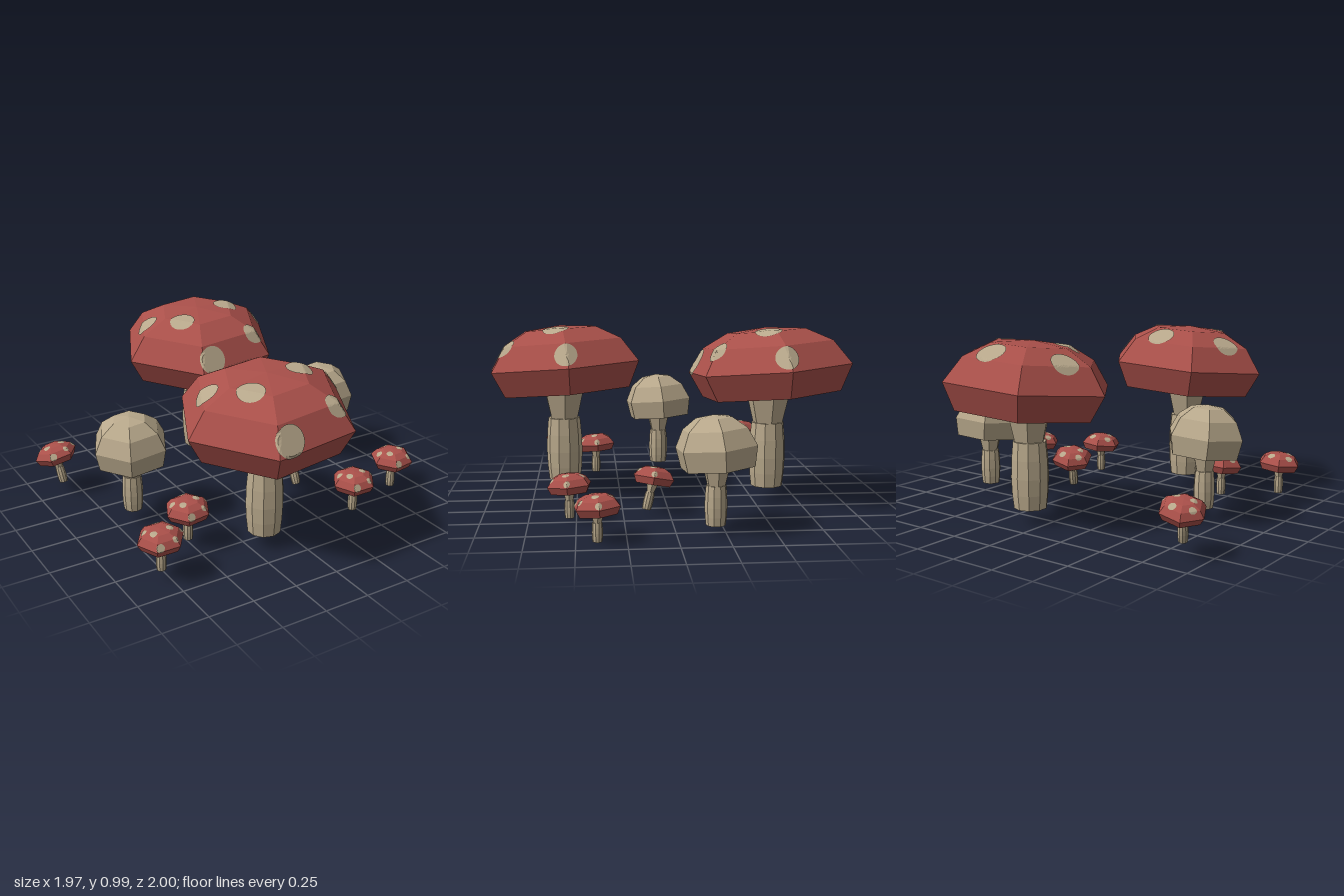
import * as THREE from 'three';

const V = (x, y, z) => new THREE.Vector3(x, y, z);

// Faceted surface of revolution; profile runs bottom to top as [radius, height]
function facetedLathe(profile, sides, phi = 0) {
  const pts = profile.map(([r, y]) => new THREE.Vector2(r, y));
  const g = new THREE.LatheGeometry(pts, sides, phi).toNonIndexed();
  g.computeVertexNormals();
  return g;
}

const HEX = THREE.MathUtils.degToRad(35); // turn of the six-sided parts
const PIVOT = 0.67;                       // height of the cap rim

// Face planes of the convex cap, used to lay spots on its surface
function capPlanes(geometry) {
  const p = geometry.attributes.position, planes = [];
  const v = [V(), V(), V()];
  for (let i = 0; i < p.count; i += 3) {
    v.forEach((q, k) => q.fromBufferAttribute(p, i + k));
    const t = new THREE.Triangle(...v);
    if (t.getArea() < 1e-6) continue;
    planes.push(new THREE.Plane().setFromCoplanarPoints(...v));
  }
  return planes;
}

// Round patch draped over the cap around the direction of the given point
function spotGeometry(planes, center, radius) {
  const origin = V(0, PIVOT, 0);
  const cast = (target) => {
    const d = target.clone().sub(origin).normalize();
    let best = Infinity, normal = null;
    for (const pl of planes) {
      const k = pl.normal.dot(d);
      if (k < 1e-6) continue;
      const t = -pl.distanceToPoint(origin) / k;
      if (t < best) { best = t; normal = pl.normal; }
    }
    return { point: origin.clone().addScaledVector(d, best), normal };
  };
  const hit = cast(center);
  // Average the face normal with the outward direction so edge spots wrap evenly
  const n = hit.normal.clone().add(hit.point.clone().sub(origin).normalize().multiplyScalar(0.5)).normalize();
  const u = V(0, 1, 0).cross(n).normalize();
  const w = n.clone().cross(u);
  const rings = 6, segs = 28, pos = [], idx = [];
  for (let r = 0; r <= rings; r++) {
    for (let s = 0; s < segs; s++) {
      const a = (s / segs) * Math.PI * 2, rad = (radius * r) / rings;
      const q = hit.point.clone().addScaledVector(u, Math.cos(a) * rad).addScaledVector(w, Math.sin(a) * rad);
      const h = cast(q);
      h.point.addScaledVector(h.normal, 0.005);
      pos.push(h.point.x, h.point.y, h.point.z);
      if (r < rings) {
        const i = r * segs + s, j = r * segs + ((s + 1) % segs);
        if (r > 0) idx.push(i, j + segs, j);
        idx.push(i, i + segs, j + segs);
      }
    }
  }
  const indexed = new THREE.BufferGeometry();
  indexed.setAttribute('position', new THREE.Float32BufferAttribute(pos, 3));
  indexed.setIndex(idx);
  const g = indexed.toNonIndexed();
  g.computeVertexNormals();
  return g;
}

export function createModel() {
  const red = new THREE.MeshStandardMaterial({ color: 0xaa504a });
  red.name = 'capRed';
  const tan = new THREE.MeshStandardMaterial({ color: 0xb9a98c });
  tan.name = 'stemTan';

  // Stem: rounded lower sheath and a six-sided flare into the cap
  const sheathGeo = facetedLathe(
    [[0, 0], [0.09, 0], [0.099, 0.08], [0.103, 0.17], [0.1, 0.27], [0.091, 0.365], [0, 0.365]], 10);
  const flareGeo = facetedLathe([[0.082, 0.35], [0.125, 0.53], [0.13, 0.6]], 6, HEX);

  // Spotted cap
  const skinGeo = facetedLathe([[0.4, 0.525], [0.473, 0.67], [0.375, 0.805], [0.225, 0.88], [0, 0.9]], 6, HEX);
  const gillsGeo = facetedLathe([[0, 0.57], [0.4, 0.525]], 6, HEX);
  const planes = capPlanes(skinGeo);
  const spotGeos = [
    [0.02, 0.845, -0.29, 0.073],
    [-0.31, 0.82, -0.09, 0.073],
    [-0.16, 0.88, 0.11, 0.073],
    [0.19, 0.88, 0.02, 0.073],
    [0.2, 0.79, 0.3, 0.06],
    [-0.115, 0.73, 0.385, 0.078],
    [0.42, 0.745, -0.035, 0.068],
  ].map(([x, y, z, r]) => spotGeometry(planes, V(x, y, z), r));

  // Plain tan cap, drawn at the scale of its own stem
  const plainScale = 0.56;
  const plainProfile = [[0.195, 0.295], [0.215, 0.4], [0.17, 0.49], [0.095, 0.545], [0, 0.56]]
    .map((p) => p.map((v) => v / plainScale));
  const plainSkinGeo = facetedLathe(plainProfile, 6, HEX);
  const plainGillsGeo = facetedLathe([[0, 0.325 / plainScale], plainProfile[0]], 6, HEX);

  const add = (parent, name, geo, mat) => {
    const m = new THREE.Mesh(geo, mat);
    m.name = name;
    parent.add(m);
  };

  function mushroom(name, spotted, [x, y, z], scale, yaw = 0, leanX = 0, leanZ = 0) {
    const g = new THREE.Group();
    g.name = name;
    add(g, 'stem', sheathGeo, tan);
    add(g, 'stemFlare', flareGeo, tan);

    // Cap sits slightly askew on the stem
    const cap = new THREE.Group();
    cap.name = 'cap';
    add(cap, 'capTop', spotted ? skinGeo : plainSkinGeo, spotted ? red : tan);
    add(cap, 'gills', spotted ? gillsGeo : plainGillsGeo, tan);
    if (spotted) spotGeos.forEach((s) => add(cap, 'spot', s, tan));
    cap.rotation.set(0.075, 0, 0.053);
    cap.position.copy(V(0, PIVOT, 0).sub(V(0, PIVOT, 0).applyEuler(cap.rotation)));
    g.add(cap);

    g.position.set(x, y, z);
    g.rotation.set(leanX, yaw, leanZ);
    g.scale.setScalar(scale);
    return g;
  }

  const model = new THREE.Group();
  model.name = 'mushroomPatch';
  const small = 0.264;
  model.add(
    mushroom('largeMushroomBack', true, [0.095, 0.085, -0.58], 1),
    mushroom('largeMushroomFront', true, [-0.16, 0.085, 0.57], 1),
    mushroom('plainMushroomRight', false, [-0.645, 0.08, -0.015], plainScale),
    mushroom('plainMushroomLeft', false, [0.747, 0.04, -0.2], plainScale),
    mushroom('smallMushroom1', true, [-0.845, 0.068, -0.54], small, -0.17, -0.22, 0.12),
    mushroom('smallMushroom2', true, [0.362, 0.025, 0.125], small, -0.17, -0.22, 0.12),
    mushroom('smallMushroom3', true, [0.462, 0.015, 0.535], small, -0.17),
    mushroom('smallMushroom4', true, [0.858, 0, 0.395], small),
    mushroom('smallMushroom5', true, [-0.785, 0.052, 0.588], small, -0.17),
    mushroom('smallMushroom6', true, [-0.52, 0.046, 0.385], small),
  );
  return model;
}
